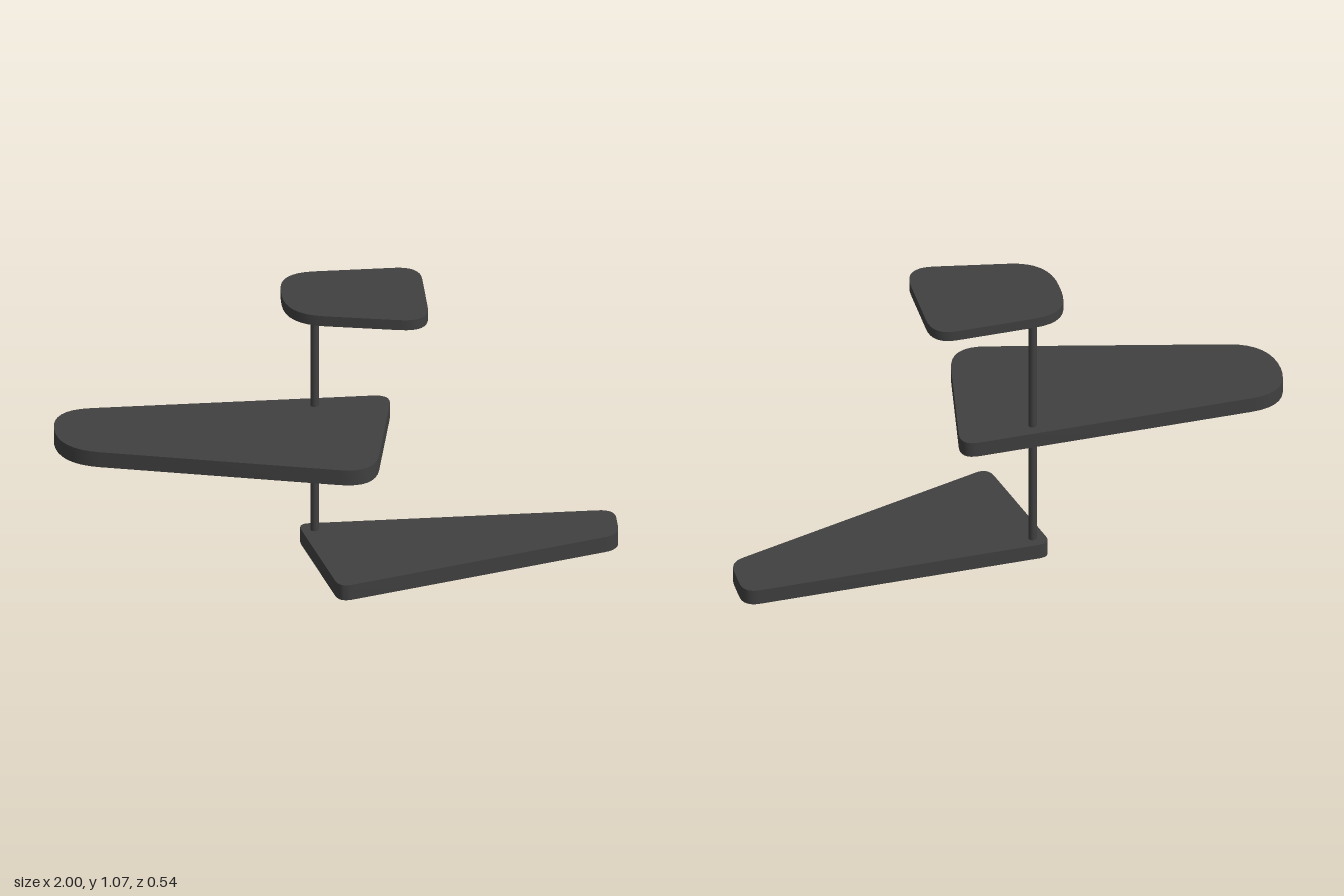
import * as THREE from 'three';
import { toCreasedNormals } from 'three/addons/utils/BufferGeometryUtils.js';

const material = new THREE.MeshStandardMaterial({ color: 0x404040 });

// Flat slab from corners [x, z, rounding length], standing on y = bottom
function shelf(name, corners, bottom, thickness) {
  const shape = new THREE.Shape();
  const n = corners.length;
  const toward = (from, to) => {
    const p = new THREE.Vector2(from[0], -from[1]);
    const d = new THREE.Vector2(to[0], -to[1]).sub(p).normalize();
    return p.addScaledVector(d, from[2]);
  };
  corners.forEach((c, i) => {
    const a = toward(c, corners[(i + n - 1) % n]);
    const b = toward(c, corners[(i + 1) % n]);
    if (i === 0) shape.moveTo(a.x, a.y);
    else shape.lineTo(a.x, a.y);
    shape.quadraticCurveTo(c[0], -c[1], b.x, b.y);
  });
  shape.closePath();
  let geo = new THREE.ExtrudeGeometry(shape, { depth: thickness, bevelEnabled: false, curveSegments: 8 });
  geo.rotateX(-Math.PI / 2);
  geo = toCreasedNormals(geo, 0.6);
  const mesh = new THREE.Mesh(geo, material);
  mesh.name = name;
  mesh.position.y = bottom;
  return mesh;
}

export function createModel() {
  const group = new THREE.Group();
  group.name = 'tieredShelf';

  // Three tapering shelves, swung to alternate sides of the pole
  group.add(
    shelf('bottomShelf', [[-0.125, -0.268, 0.045], [-0.02, 0.21, 0.05], [1, -0.084, 0.055], [1, -0.268, 0.06]], 0, 0.06),
    shelf('middleShelf', [[-1, -0.272, 0.145], [-1, 0.017, 0.15], [0.1, 0.295, 0.13], [0.21, -0.272, 0.07]], 0.5, 0.06),
    shelf('topShelf', [[-0.195, -0.272, 0.13], [-0.195, 0.033, 0.14], [0.31, 0.135, 0.11], [0.31, -0.272, 0.09]], 1.03, 0.04)
  );

  // Pole through the back of all shelves
  const pole = new THREE.Mesh(new THREE.CylinderGeometry(0.015, 0.015, 1.03, 24), material);
  pole.name = 'pole';
  pole.position.set(-0.068, 0.535, -0.222);
  group.add(pole);

  return group;
}
